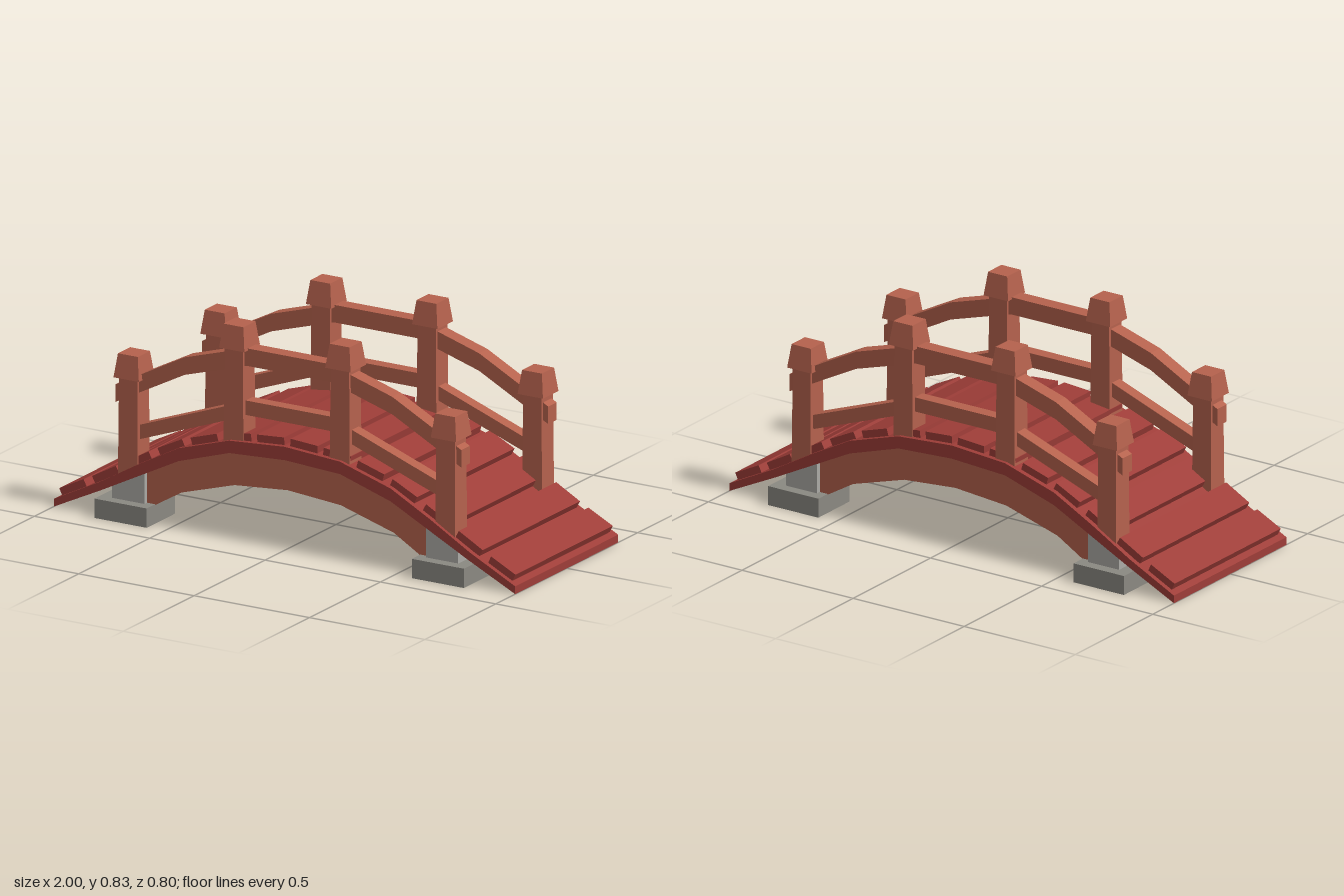
import * as THREE from 'three';

const flat = (name, color) => {
  const m = new THREE.MeshStandardMaterial({ color, flatShading: true });
  m.name = name;
  return m;
};

// Profiles for the +x half: [x, y]
const DECK_TOP = [[0, 0.402], [0.24, 0.385], [0.46, 0.318], [0.63, 0.228], [0.8, 0.13], [1, 0.03]];
const DECK_BOTTOM = [[0, 0.35], [0.24, 0.337], [0.46, 0.268], [0.62, 0.187], [0.8, 0.096], [1, 0]];
const BEAM_TOP = [[0, 0.352], [0.24, 0.339], [0.46, 0.27], [0.62, 0.189], [0.68, 0.16]];
const BEAM_BOTTOM = [[0, 0.227], [0.23, 0.208], [0.46, 0.14], [0.62, 0.045]];
const TOP_RAIL = [[0, 0.712], [0.18, 0.712], [0.45, 0.631], [0.65, 0.527], [0.75, 0.475]];
const LOW_RAIL = [[0, 0.513], [0.21, 0.513], [0.27, 0.478], [0.66, 0.336]];

const shift = (points, dy) => points.map(([x, y]) => [x, y + dy]);
const mirrored = (half) => [...half.slice(1).reverse().map(([x, y]) => [-x, y]), ...half];

// Symmetric arched bar between an upper and a lower profile
function archGeometry(top, bottom, width) {
  const outline = [...mirrored(bottom), ...mirrored(top).reverse()];
  const shape = new THREE.Shape(outline.map(([x, y]) => new THREE.Vector2(x, y)));
  const g = new THREE.ExtrudeGeometry(shape, { depth: width, bevelEnabled: false });
  return g.translate(0, 0, -width / 2);
}

// Square tapered block standing on y = 0
function taperedBlock(halfTop, halfBottom, height) {
  const g = new THREE.CylinderGeometry(halfTop * Math.SQRT2, halfBottom * Math.SQRT2, height, 4);
  return g.rotateY(Math.PI / 4).translate(0, height / 2, 0);
}

// Height of a half profile at x
function heightAt(profile, x) {
  const ax = Math.abs(x);
  let i = 1;
  while (i < profile.length - 1 && profile[i][0] < ax) i++;
  const [x0, y0] = profile[i - 1], [x1, y1] = profile[i];
  return y0 + ((ax - x0) / (x1 - x0)) * (y1 - y0);
}

export function createModel() {
  const model = new THREE.Group();
  model.name = 'archedFootbridge';

  const red = flat('deckRed', 0x9e3d38);
  const wood = flat('railWood', 0xb5624d);
  const stone = flat('footingStone', 0x8b8982);
  const paleStone = flat('paleStone', 0xacaba6);

  const add = (name, geometry, material, x = 0, y = 0, z = 0) => {
    const mesh = new THREE.Mesh(geometry, material);
    mesh.name = name;
    mesh.position.set(x, y, z);
    model.add(mesh);
    return mesh;
  };

  // Deck and the arch carrying it
  add('deck', archGeometry(DECK_TOP, DECK_BOTTOM, 0.726), red);
  add('archBeam', archGeometry(BEAM_TOP, BEAM_BOTTOM, 0.68), wood);

  // Planks laid along the slope
  const plank = new THREE.BoxGeometry(0.118, 0.03, 0.686);
  for (let i = 0; i < 14; i++) {
    const x = (i - 6.5) * 0.142;
    const y0 = heightAt(DECK_TOP, x - 0.055), y1 = heightAt(DECK_TOP, x + 0.055);
    const angle = Math.atan2(y1 - y0, 0.11);
    const y = (y0 + y1) / 2;
    add('plank', plank, red, x - Math.sin(angle) * 0.014, y + Math.cos(angle) * 0.014, 0).rotation.z = angle;
  }

  // Railings and footings on both sides
  const topRail = archGeometry(shift(TOP_RAIL, 0.034), shift(TOP_RAIL, -0.034), 0.06);
  const lowRail = archGeometry(shift(LOW_RAIL, 0.028), shift(LOW_RAIL, -0.028), 0.05);
  const cap = taperedBlock(0.043, 0.055, 0.092);
  const posts = [
    { x: 0.6875, bottom: 0.165, top: 0.547 },
    { x: 0.23, bottom: 0.36, top: 0.74 },
  ];
  for (const side of [-1, 1]) {
    const z = side * 0.306;
    add('topRail', topRail, wood, 0, 0, z);
    add('lowerRail', lowRail, wood, 0, 0, z);
    for (const end of [-1, 1]) {
      for (const p of posts) {
        add('post', taperedBlock(0.04, 0.043, p.top - p.bottom), wood, end * p.x, p.bottom, z);
        add('postCap', cap, wood, end * p.x, p.top - 0.002, z);
      }
      add('footing', new THREE.BoxGeometry(0.226, 0.075, 0.2), stone, end * 0.6875, 0.0375, side * 0.3);
      // Pier sloped on top to stay under the deck
      const pier = new THREE.BoxGeometry(0.14, 0.12, 0.12).translate(end * 0.68, 0.13, side * 0.298);
      const pos = pier.attributes.position;
      for (let i = 0; i < pos.count; i++) {
        if (pos.getY(i) > 0.13) pos.setY(i, heightAt(DECK_BOTTOM, pos.getX(i)) + 0.004);
      }
      add('pier', pier, paleStone);
    }
  }
  return model;
}
